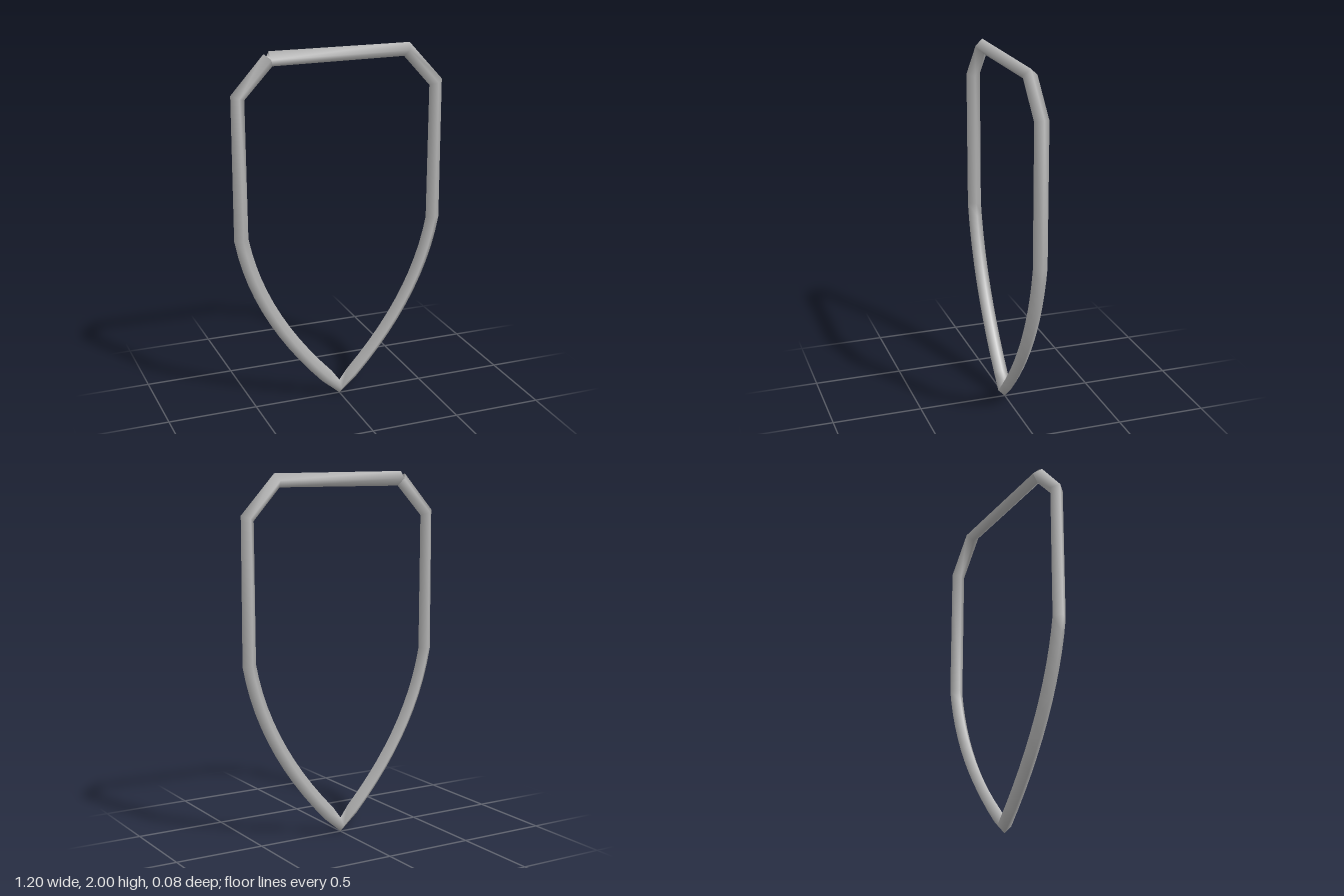
import * as THREE from 'three';

// Sweep a four-sided diamond section along an open path in the XY plane
function sweepDiamond(path, radius) {
  const positions = [], indices = [];
  const direction = (a, b) => b.clone().sub(a).normalize();
  path.forEach((p, i) => {
    const tangent = new THREE.Vector2();
    if (i > 0) tangent.add(direction(path[i - 1], p));
    if (i < path.length - 1) tangent.add(direction(p, path[i + 1]));
    tangent.normalize();
    for (let k = 0; k < 4; k++) {
      const a = k * Math.PI / 2;
      const side = Math.cos(a) * radius;
      positions.push(p.x - tangent.y * side, p.y + tangent.x * side, Math.sin(a) * radius);
    }
  });
  for (let i = 0; i < path.length - 1; i++) {
    for (let k = 0; k < 4; k++) {
      const a = i * 4 + k, b = i * 4 + (k + 1) % 4;
      indices.push(a, a + 4, b, b, a + 4, b + 4);
    }
  }
  const geometry = new THREE.BufferGeometry();
  geometry.setAttribute('position', new THREE.Float32BufferAttribute(positions, 3));
  geometry.setIndex(indices);
  geometry.computeVertexNormals();
  return geometry;
}

export function createModel() {
  const group = new THREE.Group();
  group.name = 'shieldFrame';
  const metal = new THREE.MeshStandardMaterial({ color: 0xb8b8b8, side: THREE.DoubleSide });
  metal.name = 'grey metal';

  // Right half of the outline: top corner, shoulder, then the curve to the point
  const curve = new THREE.QuadraticBezierCurve(
    new THREE.Vector2(0.561, 1), new THREE.Vector2(0.47, 0.5), new THREE.Vector2(0, 0.043));
  const half = [
    new THREE.Vector2(0.387, 1.962),
    new THREE.Vector2(0.562, 1.771),
    ...curve.getPoints(12),
  ];
  const mirrored = half.slice(0, -1).reverse().map(p => new THREE.Vector2(-p.x, p.y));

  // The rim starts and ends at one top corner, leaving the joint unmitred
  const start = new THREE.Vector2(-0.39, 1.962);
  const rim = new THREE.Mesh(sweepDiamond([start, ...half, ...mirrored], 0.04), metal);
  rim.name = 'rim';
  group.add(rim);
  return group;
}
